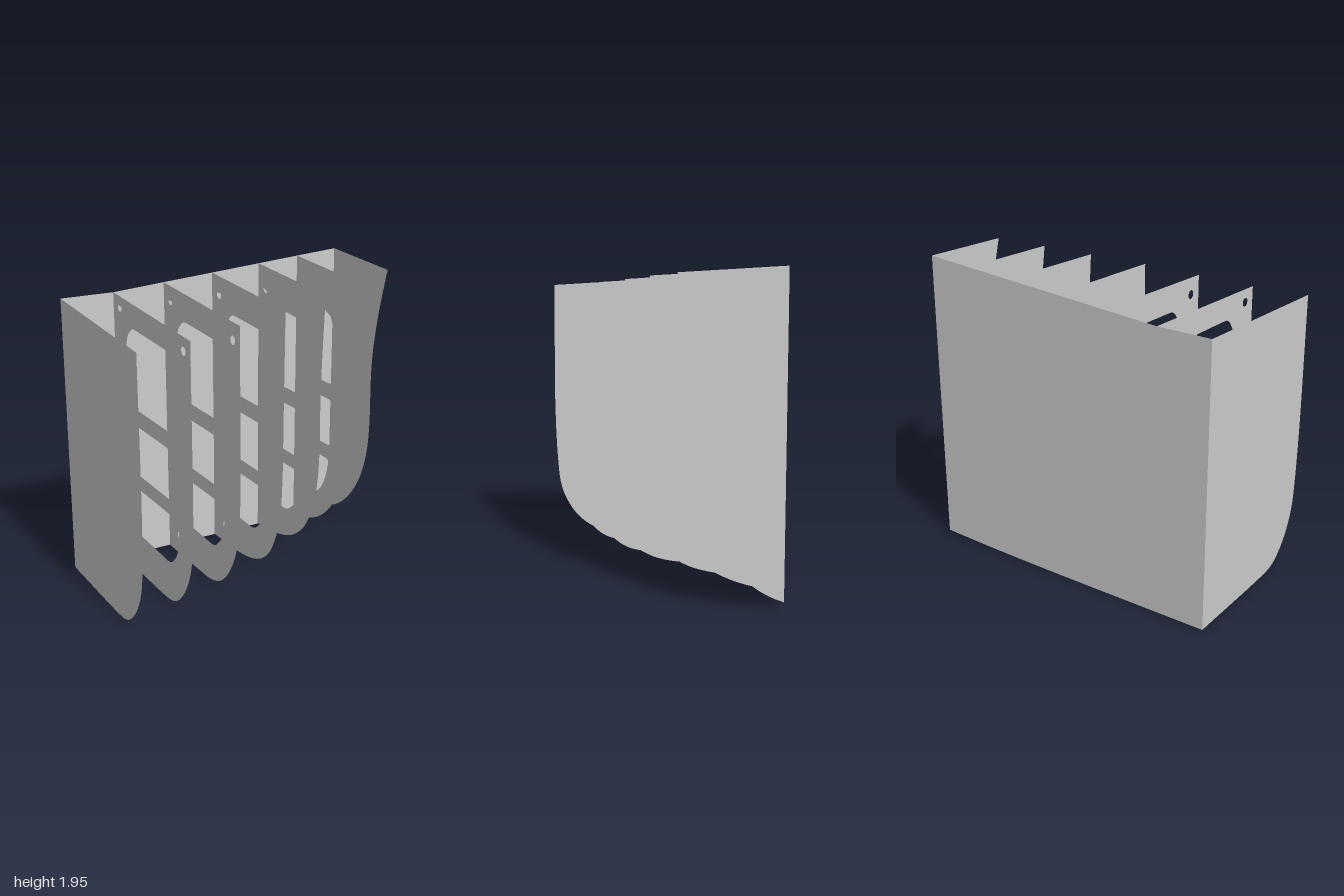
import * as THREE from 'three';

const BACK = -0.565; // z of the flat back panel
const MARGIN = 0.185; // width of material around the windows

// Ribs: position along x, and curved front edge as [z, y] from top to bottom
const RIBS = [
  { x: -1, solid: true, edge: [[0.565, 1.77], [0.567, 1.4], [0.568, 0.9], [0.554, 0.53], [0.534, 0.35], [0.497, 0.24], [0.43, 0.13], [0.343, 0.047], [0.28, 0.015], [0.2, 0.003], [BACK, 0]] },
  { x: -0.65, frontHole: true, edge: [[0.513, 1.774], [0.514, 1.3], [0.513, 0.75], [0.507, 0.56], [0.487, 0.4], [0.446, 0.27], [0.384, 0.16], [0.29, 0.06], [0.2, 0.016], [0.1, 0.004], [BACK, 0.001]] },
  { x: -0.3, frontHole: true, edge: [[0.45, 1.8], [0.45, 1.3], [0.449, 0.75], [0.44, 0.58], [0.41, 0.4], [0.358, 0.264], [0.27, 0.134], [0.162, 0.047], [0.034, 0.01], [-0.1, 0.005], [BACK, 0.002]] },
  { x: 0.05, edge: [[0.37, 1.83], [0.368, 1.62], [0.361, 1.1], [0.358, 0.79], [0.338, 0.53], [0.281, 0.326], [0.188, 0.17], [0.06, 0.078], [-0.12, 0.026], [BACK, 0.004]] },
  { x: 0.4, edge: [[0.265, 1.86], [0.245, 1.566], [0.23, 1.2], [0.23, 0.79], [0.209, 0.584], [0.157, 0.403], [0.06, 0.233], [-0.095, 0.109], [-0.3, 0.041], [BACK, 0.008]] },
  { x: 0.7, edge: [[0.167, 1.89], [0.126, 1.617], [0.095, 1.307], [0.09, 1.1], [0.09, 0.79], [0.07, 0.584], [0.013, 0.403], [-0.09, 0.248], [-0.224, 0.134], [-0.405, 0.052], [BACK, 0.015]] },
  { x: 1, solid: true, edge: [[0.064, 1.917], [-0.008, 1.643], [-0.054, 1.41], [-0.075, 1.2], [-0.075, 0.79], [-0.1, 0.584], [-0.162, 0.403], [-0.26, 0.248], [-0.379, 0.129], [-0.482, 0.062], [BACK, 0.026]] },
];

// Height of the back panel: level at first, then rising
const backTop = (x) => 1.83 + Math.max(0, x + 0.65) * (0.12 / 1.65);

// Closed path through corner points, each corner rounded
function roundedPath(corners, radius) {
  const pts = corners.map(([a, b]) => new THREE.Vector2(a, b));
  const path = new THREE.Path();
  pts.forEach((p, i) => {
    const prev = pts[(i + pts.length - 1) % pts.length];
    const next = pts[(i + 1) % pts.length];
    const toward = (q) => p.clone().lerp(q, Math.min(0.45, radius / p.distanceTo(q)));
    const a = toward(prev), b = toward(next);
    if (i === 0) path.moveTo(a.x, a.y);
    else path.lineTo(a.x, a.y);
    path.quadraticCurveTo(p.x, p.y, b.x, b.y);
  });
  path.closePath();
  return path;
}

function roundHole(u, y) {
  const path = new THREE.Path();
  path.absarc(u, y, 0.028, 0, Math.PI * 2, true);
  return path;
}

// Rib outline drawn with u = distance from the back panel
function ribShape({ x, solid, frontHole, edge }) {
  const curve = new THREE.CatmullRomCurve3(
    edge.map(([z, y]) => new THREE.Vector3(z - BACK, y, 0)), false, 'centripetal');
  const outline = curve.getPoints(80).map((p) => new THREE.Vector2(p.x, p.y));
  const shape = new THREE.Shape([new THREE.Vector2(0, backTop(x)), ...outline]);
  if (solid) return shape;

  // Front limit of the windows at a given height
  const front = (y) => {
    const i = Math.max(1, outline.findIndex((p) => p.y <= y));
    const a = outline[i - 1], b = outline[i];
    return a.x + (b.x - a.x) * ((a.y - y) / (a.y - b.y)) - MARGIN;
  };
  const at = (y, inset = 0) => [front(y) - inset, y];

  // Three stacked windows, leaving two crossbars
  const windows = [
    [[MARGIN, 1.14], at(1.14), at(1.49), at(1.64, 0.1), [0.27, 1.66], [MARGIN, 1.58]],
    [[MARGIN, 0.7], at(0.7), at(1.03), [MARGIN, 1.03]],
    [[MARGIN, 0.28], at(0.27, 0.07), at(0.35, 0.01), at(0.45), at(0.6), [MARGIN, 0.6]],
  ];
  windows.forEach((w) => shape.holes.push(roundedPath(w, 0.045)));

  // Small round holes near the corners
  shape.holes.push(roundHole(0.095, 1.753), roundHole(0.16, 0.135));
  if (frontHole) shape.holes.push(roundHole(edge[0][0] - BACK - 0.09, 1.695));
  return shape;
}

export function createModel() {
  const group = new THREE.Group();
  const material = new THREE.MeshStandardMaterial({ color: 0xcccccc, side: THREE.DoubleSide });

  // Upright ribs, largest at one end
  RIBS.forEach((rib, i) => {
    const geometry = new THREE.ShapeGeometry(ribShape(rib), 8).rotateY(-Math.PI / 2);
    const mesh = new THREE.Mesh(geometry, material);
    mesh.name = `${rib.solid ? 'endRib' : 'rib'}${i + 1}`;
    mesh.position.set(rib.x, 0, BACK);
    group.add(mesh);
  });

  // Flat back panel joining the ribs
  const bottom = RIBS.map(({ x, edge }) => new THREE.Vector2(x, edge[edge.length - 1][1]));
  const top = RIBS.map(({ x }) => new THREE.Vector2(x, backTop(x))).reverse();
  const panel = new THREE.Mesh(
    new THREE.ShapeGeometry(new THREE.Shape([...bottom, ...top])), material);
  panel.name = 'backPanel';
  panel.position.z = BACK;
  group.add(panel);

  return group;
}
